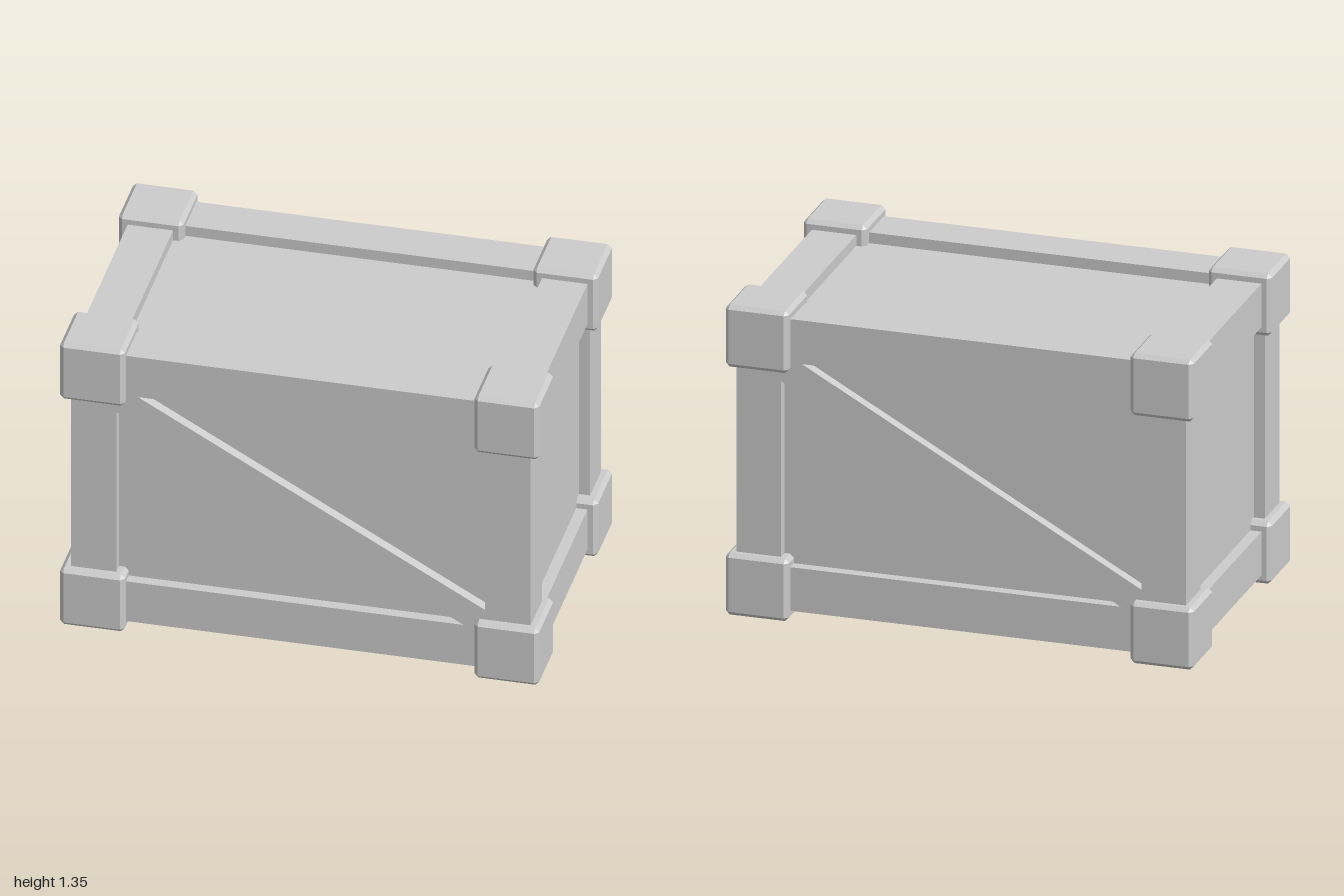
import * as THREE from 'three';
import { ConvexGeometry } from 'three/addons/geometries/ConvexGeometry.js';

const MID_Y = 0.675;                       // centre height
const FRAME = [0.96, 0.635, 0.605];        // half extents of the frame
const OUTER = [1, 0.675, 0.64];            // half extents over the corner blocks
const BEAM = 0.19, BLOCK = 0.27, CHAMFER = 0.017, RECESS = 0.047;

// Cube with every edge cut at 45 degrees
function chamferedCube(size, c) {
  const h = size / 2, points = [];
  for (const x of [-1, 1]) for (const y of [-1, 1]) for (const z of [-1, 1])
    for (let axis = 0; axis < 3; axis++) {
      const p = [x, y, z].map((s, i) => s * (i === axis ? h : h - c));
      points.push(new THREE.Vector3(...p));
    }
  return new ConvexGeometry(points);
}

export function createModel() {
  const crate = new THREE.Group();
  crate.name = 'crate';
  const body = new THREE.Group();
  body.position.y = MID_Y;
  crate.add(body);
  const material = new THREE.MeshStandardMaterial({ color: 0xcccccc, flatShading: true });

  const add = (name, geometry, position = [0, 0, 0]) => {
    const mesh = new THREE.Mesh(geometry, material);
    mesh.name = name;
    mesh.position.set(...position);
    body.add(mesh);
    return mesh;
  };

  // Recessed panels on all six sides
  add('panels', new THREE.BoxGeometry(...FRAME.map(h => 2 * (h - RECESS))));

  // Twelve frame beams, four along each axis, ending inside the corner blocks
  const names = ['lengthBeam', 'uprightBeam', 'widthBeam'];
  for (let axis = 0; axis < 3; axis++) {
    const size = [BEAM, BEAM, BEAM];
    size[axis] = 2 * (OUTER[axis] - BLOCK / 2);
    const geometry = new THREE.BoxGeometry(...size);
    for (const a of [-1, 1]) for (const b of [-1, 1]) {
      const u = (axis + 1) % 3, v = (axis + 2) % 3, position = [0, 0, 0];
      position[u] = a * (FRAME[u] - BEAM / 2);
      position[v] = b * (FRAME[v] - BEAM / 2);
      add(names[axis], geometry, position);
    }
  }

  // Eight chamfered corner blocks
  const block = chamferedCube(BLOCK, CHAMFER);
  for (const x of [-1, 1]) for (const y of [-1, 1]) for (const z of [-1, 1])
    add('cornerBlock', block, [x, y, z].map((s, i) => s * (OUTER[i] - BLOCK / 2)));

  // Diagonal braces, flush with the frame, front and back
  const half = [[-0.68, 0.445], [-0.77, 0.445], [-0.77, 0.36]];
  const outline = [...half, ...half.map(([x, y]) => [-x, -y])];
  const brace = new THREE.ExtrudeGeometry(
    new THREE.Shape(outline.map(p => new THREE.Vector2(...p))),
    { depth: RECESS, bevelEnabled: false });
  brace.translate(0, 0, FRAME[2] - RECESS);
  add('frontBrace', brace);
  add('backBrace', brace).rotation.y = Math.PI;

  return crate;
}
